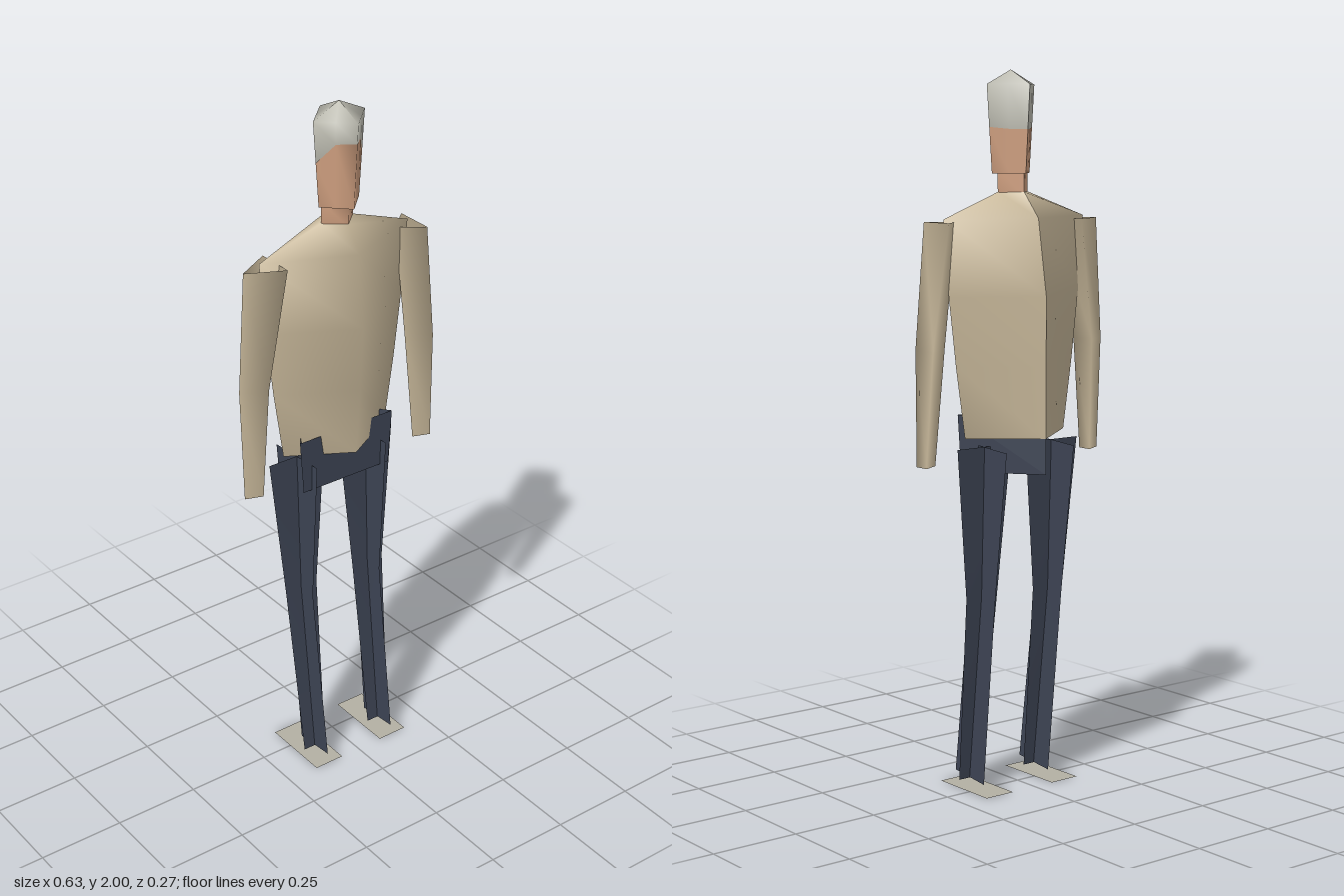
import * as THREE from 'three';

const mat = (name, color) => {
  const m = new THREE.MeshStandardMaterial({ color, side: THREE.DoubleSide });
  m.name = name;
  return m;
};

// Skin a surface over rows of points, listed top to bottom.
// Points in a row run back, +x, front, -x; closed rows keep a seam at the first point.
function loft(rows, closed = true) {
  const pos = [], index = [];
  const full = rows.map(r => (closed ? [...r, r[0]] : r));
  const n = full[0].length;
  full.forEach(r => r.forEach(p => pos.push(...p)));
  for (let r = 0; r < full.length - 1; r++) {
    for (let i = 0; i < n - 1; i++) {
      const a = r * n + i, c = a + n;
      index.push(a, a + 1, c, a + 1, c + 1, c);
    }
  }
  const g = new THREE.BufferGeometry();
  g.setAttribute('position', new THREE.Float32BufferAttribute(pos, 3));
  g.setIndex(index);
  g.computeVertexNormals();
  return g;
}

// Four-cornered ring: back, +x side, front, -x side
const CX = 0.009;
const diamond = (y, rx, back, front, sideZ = 0) => [
  [CX, y, back], [CX + rx, y, sideZ], [CX, y, front], [CX - rx, y, sideZ],
];

export function createModel() {
  const model = new THREE.Group();
  const tan = mat('tan shirt', 0xc9b99b);
  const skin = mat('skin', 0xd0a080);
  const hair = mat('grey hair', 0xbcbbb0);
  const navy = mat('dark trousers', 0x3d4454);
  const shoe = mat('grey shoe', 0xb3b0a3);

  const add = (name, geometry, material, parent = model) => {
    const mesh = new THREE.Mesh(geometry, material);
    mesh.name = name;
    parent.add(mesh);
    return mesh;
  };

  // Torso and neck
  add('torso', loft([
    diamond(1.67, 0.05, -0.04, 0.06, 0.01),
    diamond(1.6, 0.245, -0.102, 0.108),
    diamond(1.39, 0.228, -0.136, 0.126),
    diamond(1.2, 0.205, -0.136, 0.116),
    diamond(1.0, 0.175, -0.136, 0.1),
  ]), tan);
  add('neck', loft([
    diamond(1.73, 0.052, -0.04, 0.06, 0.01),
    diamond(1.66, 0.052, -0.04, 0.06, 0.01),
  ]), skin);

  // Head: eight points on a square section, tapering to the chin
  const HZ = 0.018;
  const headRing = (heights) => heights.map((y, i) => {
    const s = THREE.MathUtils.mapLinear(Math.min(y, 1.96), 1.72, 1.96, 0.066, 0.083);
    const r = y >= 1.999 ? 0 : i % 2 ? s * Math.SQRT1_2 : s;
    const a = i * Math.PI / 4;
    return [CX + r * Math.sin(a), y, HZ - r * Math.cos(a)];
  });
  const level = y => Array(8).fill(y);
  const hairline = [1.84, 1.84, 1.845, 1.9, 1.905, 1.9, 1.845, 1.84];
  const head = new THREE.Group();
  head.name = 'head';
  model.add(head);
  add('hair', loft([level(2), level(1.96), hairline].map(headRing)), hair, head);
  const chin = headRing(level(1.72));
  add('face', loft([headRing(hairline), chin]), skin, head);
  add('chin', loft([chin, chin.map(() => [CX, 1.72, HZ])]), skin, head);

  // Hips: three-sided band with a flat front
  const hipRing = (y, rx) => [[CX, y, -0.135], [CX + rx, y, 0.055], [CX - rx, y, 0.055]];
  add('hips', loft([hipRing(1.06, 0.158), hipRing(0.9, 0.147)]).toNonIndexed(), navy)
    .geometry.computeVertexNormals();

  // Arms: open three-sided sleeves, [y, apex x, outer x, back z, front z]
  const sleeve = rows => loft(rows.map(([y, ax, ox, zb, zf]) => [
    [ax, y, (zb + zf) / 2 + 0.005], [ox, y, zb], [ox, y, zf],
  ]));
  add('rightArm', sleeve([
    [1.592, -0.292, -0.187, -0.053, 0.06],
    [1.25, -0.315, -0.243, -0.033, 0.047],
    [0.93, -0.315, -0.265, 0, 0.045],
  ]), tan);
  add('leftArm', sleeve([
    [1.592, 0.205, 0.275, -0.053, 0.06],
    [1.25, 0.243, 0.315, -0.033, 0.047],
    [0.93, 0.265, 0.315, 0, 0.045],
  ]), tan);

  // Legs: two crossed plates, bent at the knee, on a flat sole
  for (const s of [-1, 1]) {
    const leg = new THREE.Group();
    leg.name = s < 0 ? 'rightLeg' : 'leftLeg';
    model.add(leg);
    const x = (out) => CX + s * out;
    // [y, inner, outer, plate z]
    const wide = [[0.975, 0.026, 0.212, -0.015], [0.55, 0.065, 0.172, 0], [0.018, 0.08, 0.154, 0.06]];
    add('legFrontPlate', loft(wide.map(([y, a, b, z]) => {
      const row = [[x(a), y, z], [x(b), y, z]];
      return s < 0 ? row : row.reverse();
    }), false), navy, leg);
    // [centre, back y, back z, front y, front z]
    const deep = [[0.119, 0.968, -0.113, 0.98, 0.08], [0.119, 0.54, -0.06, 0.55, 0.057], [0.117, 0.012, -0.006, 0.026, 0.125]];
    add('legSidePlate', loft(deep.map(([c, yb, zb, yf, zf]) => [[x(c), yb, zb], [x(c), yf, zf]]), false), navy, leg);

    const sole = new THREE.PlaneGeometry(0.093, 0.212).rotateX(-Math.PI / 2);
    sole.translate(x(0.117), 0, 0.027);
    add('foot', sole, shoe, leg);
  }
  return model;
}
